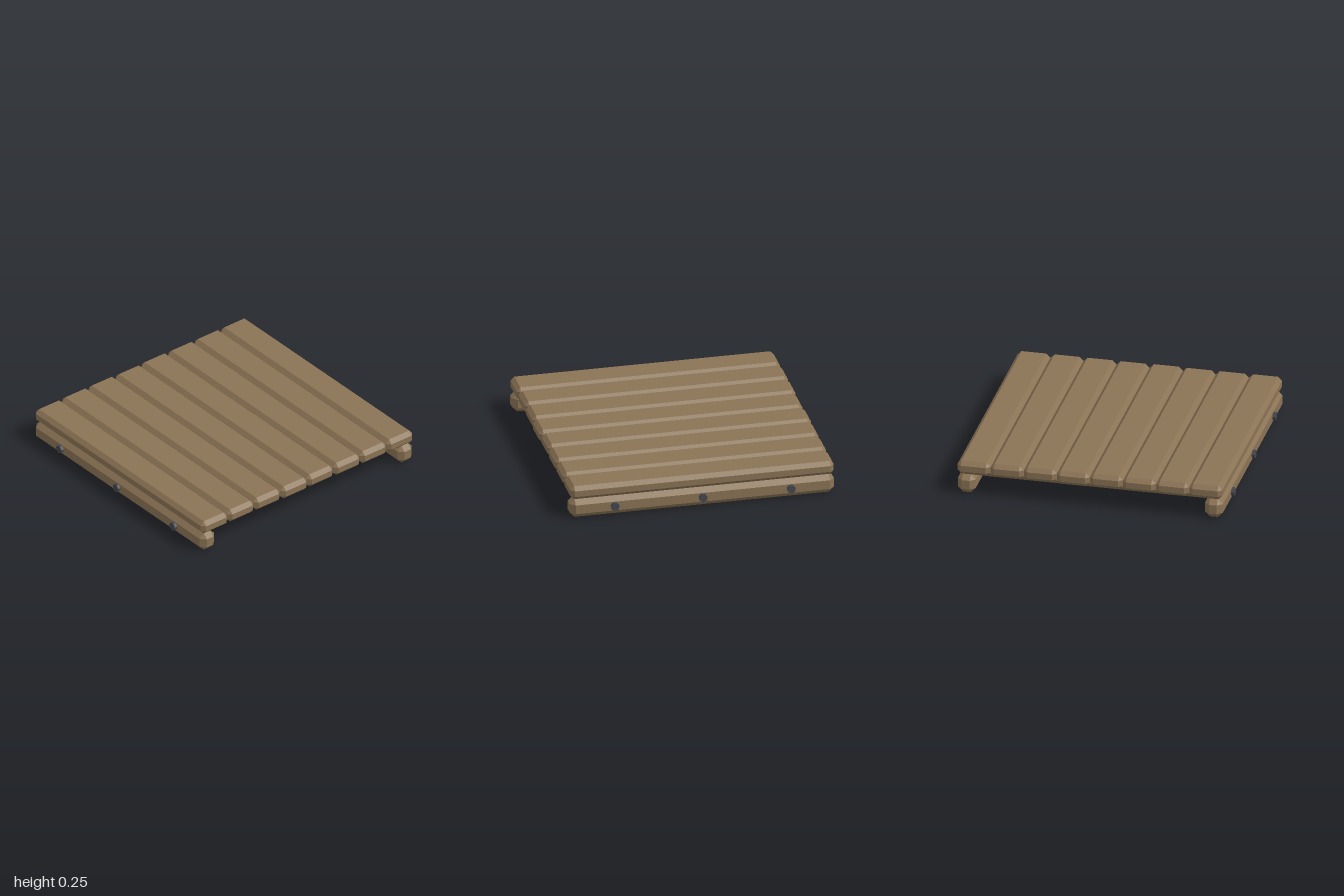
import * as THREE from 'three';
import { ConvexGeometry } from 'three/addons/geometries/ConvexGeometry.js';

// Box whose twelve edges are cut by a chamfer c, with flat faces
function chamferBox(w, h, d, c) {
  const points = [];
  for (const x of [-1, 1]) for (const y of [-1, 1]) for (const z of [-1, 1]) {
    const X = w / 2, Y = h / 2, Z = d / 2;
    points.push(
      new THREE.Vector3(x * X, y * (Y - c), z * (Z - c)),
      new THREE.Vector3(x * (X - c), y * Y, z * (Z - c)),
      new THREE.Vector3(x * (X - c), y * (Y - c), z * Z)
    );
  }
  return new ConvexGeometry(points);
}

export function createModel() {
  const model = new THREE.Group();
  model.name = 'woodenPlatform';

  const wood = new THREE.MeshStandardMaterial({ color: 0x8b7355 });
  wood.name = 'wood';
  wood.flatShading = true;
  const iron = new THREE.MeshStandardMaterial({ color: 0x44474d });
  iron.name = 'iron';
  iron.flatShading = true;

  function add(name, geometry, material, x, y, z) {
    const mesh = new THREE.Mesh(geometry, material);
    mesh.name = name;
    mesh.position.set(x, y, z);
    model.add(mesh);
    return mesh;
  }

  // Deck planks, laid side by side with slightly uneven ends
  const plankGeometry = chamferBox(1.945, 0.103, 0.243, 0.029);
  const shifts = [0, 0, 0, -0.003, 0.003, -0.003, -0.003, 0];
  shifts.forEach((shift, i) => {
    add(`plank${i + 1}`, plankGeometry, wood, shift, 0.197, (i - 3.5) * 0.2443 - 0.002);
  });

  // Front and back rails under the deck
  const railGeometry = chamferBox(1.95, 0.143, 0.132, 0.037);
  add('frontRail', railGeometry, wood, 0, 0.0725, 0.912);
  add('backRail', railGeometry, wood, 0, 0.0725, -0.912);

  // Joists between the rails, each with a bolt head at both ends
  const joistGeometry = chamferBox(0.125, 0.13, 1.7, 0.034);
  const boltGeometry = new THREE.CylinderGeometry(0.032, 0.032, 0.06, 7).rotateX(Math.PI / 2);
  [-0.65, 0, 0.65].forEach((x, i) => {
    add(`joist${i + 1}`, joistGeometry, wood, x, 0.081, 0);
    add(`frontBolt${i + 1}`, boltGeometry, iron, x, 0.075, 0.97);
    add(`backBolt${i + 1}`, boltGeometry, iron, x, 0.075, -0.97);
  });

  return model;
}
